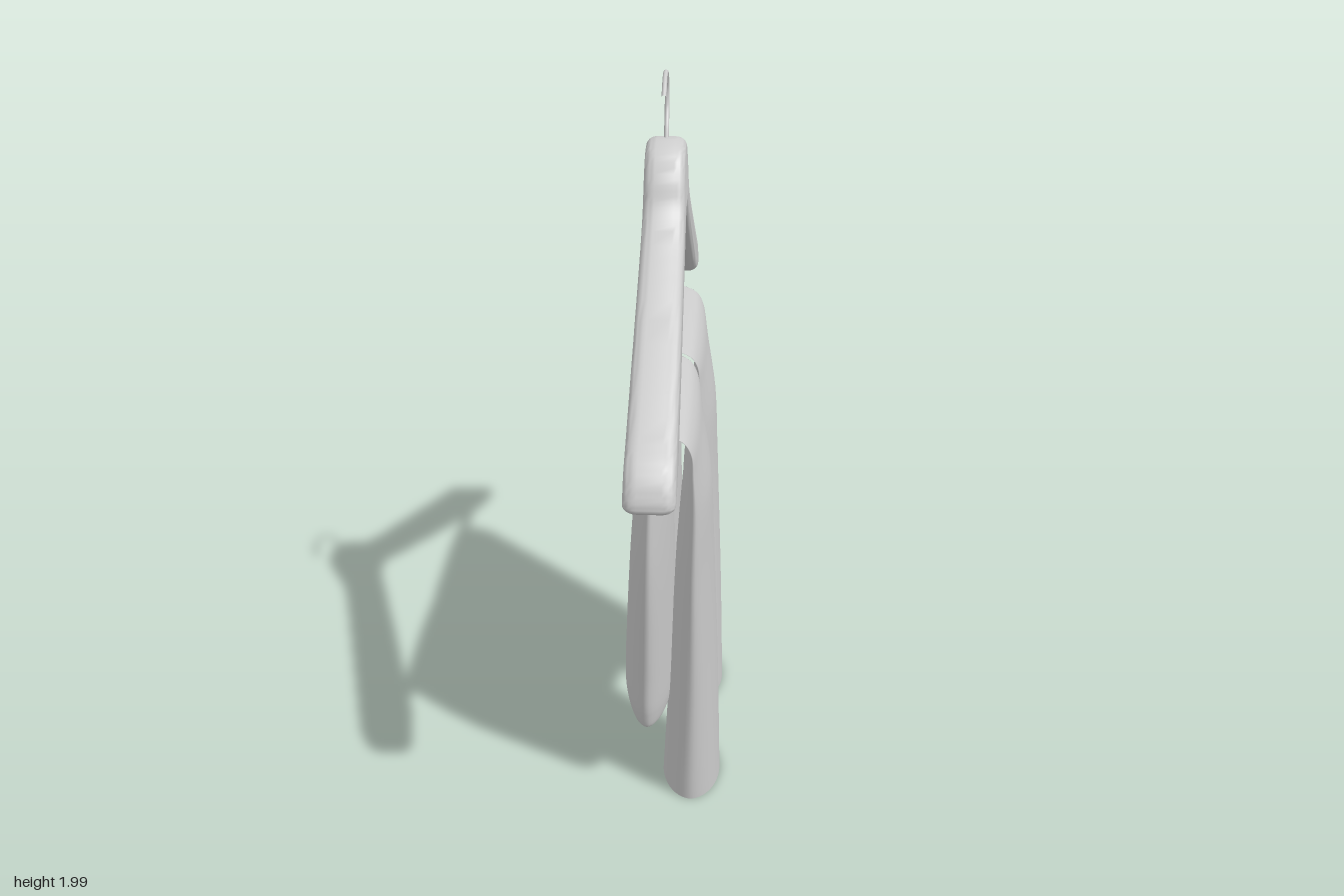
import * as THREE from 'three';
import { toCreasedNormals } from 'three/addons/utils/BufferGeometryUtils.js';

const BAR_X = -0.03;
const grey = new THREE.MeshStandardMaterial({ color: 0xcccccc, roughness: 0.8 });
const cloth = new THREE.MeshStandardMaterial({ color: 0xcccccc, roughness: 0.9, side: THREE.DoubleSide });

function part(name, geometry, material = grey) {
  const mesh = new THREE.Mesh(geometry, material);
  mesh.name = name;
  return mesh;
}

// Wooden hanger: half outline [z, y], mirrored, extruded with a soft bevel
function hangerBody() {
  const half = [
    [0, 1.83], [0.06, 1.812], [0.105, 1.755], [0.135, 1.695], [0.18, 1.65], [0.4, 1.51],
    [0.67, 1.345], [0.74, 1.3], [0.775, 1.25], [0.782, 1.215], [0.76, 1.2], [0.7, 1.21],
    [0.61, 1.247], [0.4, 1.383], [0.09, 1.602], [0.045, 1.635], [0, 1.645],
  ];
  const mirrored = half.slice(1, -1).reverse().map(([z, y]) => [-z, y]);
  const loop = new THREE.CatmullRomCurve3(
    [...half, ...mirrored].map(([z, y]) => new THREE.Vector3(z, y, 0)), true);
  const outline = loop.getPoints(160).slice(0, -1).map((p) => new THREE.Vector2(p.x, p.y));
  const bevel = 0.022;
  const depth = 0.056, bevelThickness = 0.032;
  const geo = new THREE.ExtrudeGeometry(new THREE.Shape(outline), {
    depth, bevelThickness, bevelSize: bevel, bevelOffset: -bevel, bevelSegments: 6, steps: 1,
  });
  geo.translate(0, 0, -depth / 2).rotateY(-Math.PI / 2);
  // Slightly thinner towards the neck
  const pos = geo.attributes.position;
  for (let i = 0; i < pos.count; i++) {
    const k = THREE.MathUtils.mapLinear(pos.getY(i), 1.2, 1.83, 1, 0.83);
    pos.setX(i, pos.getX(i) * k + BAR_X);
  }
  return toCreasedNormals(geo, 0.7);
}

// Wire hook, opening towards +z
function hook() {
  const path = new THREE.CatmullRomCurve3([
    [0, 1.81], [-0.018, 1.85], [-0.047, 1.9], [-0.05, 1.945], [-0.025, 1.982],
    [0.015, 1.994], [0.055, 1.982], [0.095, 1.955],
  ].map(([z, y]) => new THREE.Vector3(BAR_X, y, z)));
  return new THREE.TubeGeometry(path, 48, 0.006, 10);
}

// One half of the trousers: a flattened tube lofted from the hem,
// up the leg, over the bar and down to the waist
function trouserHalf() {
  // x, y, half thickness, inner z, outer z
  const sections = [
    [0.05, 0.015, 0.082, 0.08, 0.36],
    [0.055, 0.4, 0.067, 0.06, 0.39],
    [0.057, 0.8, 0.05, 0.037, 0.43],
    [0.06, 1.0, 0.038, 0.028, 0.45],
    [0.057, 1.12, 0.02, 0.02, 0.465],
    [0.052, 1.195, 0.008, 0.015, 0.475],
    [0.03, 1.23, 0.006, 0.01, 0.478],
    [BAR_X, 1.246, 0.006, 0.005, 0.478],
    [-0.05, 1.2, 0.008, 0.004, 0.476],
    [-0.048, 1.12, 0.025, 0.003, 0.475],
    [-0.052, 1.0, 0.046, -0.01, 0.472],
    [-0.058, 0.8, 0.058, -0.03, 0.458],
    [-0.066, 0.5, 0.068, -0.04, 0.41],
    [-0.07, 0.34, 0.07, -0.04, 0.385],
    [-0.07, 0.275, 0.058, -0.035, 0.365],
    [-0.07, 0.255, 0.03, -0.03, 0.34],
  ];
  const spine = new THREE.CatmullRomCurve3(sections.map((s) => new THREE.Vector3(s[0], s[1], 0)));
  const sizes = new THREE.CatmullRomCurve3(
    sections.map((s) => new THREE.Vector3(s[2], s[3], s[4])), false, 'catmullrom', 0.5);
  const rows = (sections.length - 1) * 5, sides = 44;
  const positions = [], index = [];
  for (let i = 0; i <= rows; i++) {
    const c = spine.getPoint(i / rows);
    const d = spine.getTangent(i / rows);
    const { x: thick, y: inner, z: outer } = sizes.getPoint(i / rows);
    for (let j = 0; j < sides; j++) {
      const a = (j / sides) * Math.PI * 2;
      const n = thick * Math.sign(Math.sin(a)) * Math.abs(Math.sin(a)) ** 1.1;
      positions.push(c.x + d.y * n, c.y - d.x * n,
        (inner + outer) / 2 + ((outer - inner) / 2) * Math.cos(a));
      if (i < rows) {
        const p = i * sides + j, q = i * sides + ((j + 1) % sides);
        index.push(p, p + sides, q, q, p + sides, q + sides);
      }
    }
  }
  const geo = new THREE.BufferGeometry();
  geo.setAttribute('position', new THREE.Float32BufferAttribute(positions, 3));
  geo.setIndex(index);
  geo.computeVertexNormals();
  return geo;
}

export function createModel() {
  const model = new THREE.Group();
  model.name = 'trousersOnHanger';

  const hanger = new THREE.Group();
  hanger.name = 'hanger';
  const bar = part('trouserBar', new THREE.CylinderGeometry(0.013, 0.013, 1.42, 20).rotateX(Math.PI / 2));
  bar.position.set(BAR_X, 1.225, 0);
  hanger.add(part('hangerBody', hangerBody()), part('hook', hook()), bar);

  const trousers = new THREE.Group();
  trousers.name = 'trousers';
  const half = trouserHalf();
  for (const side of [1, -1]) {
    const leg = part(side > 0 ? 'frontTrouserHalf' : 'backTrouserHalf', half, cloth);
    leg.scale.z = side;
    trousers.add(leg);
  }

  model.add(hanger, trousers);
  return model;
}
